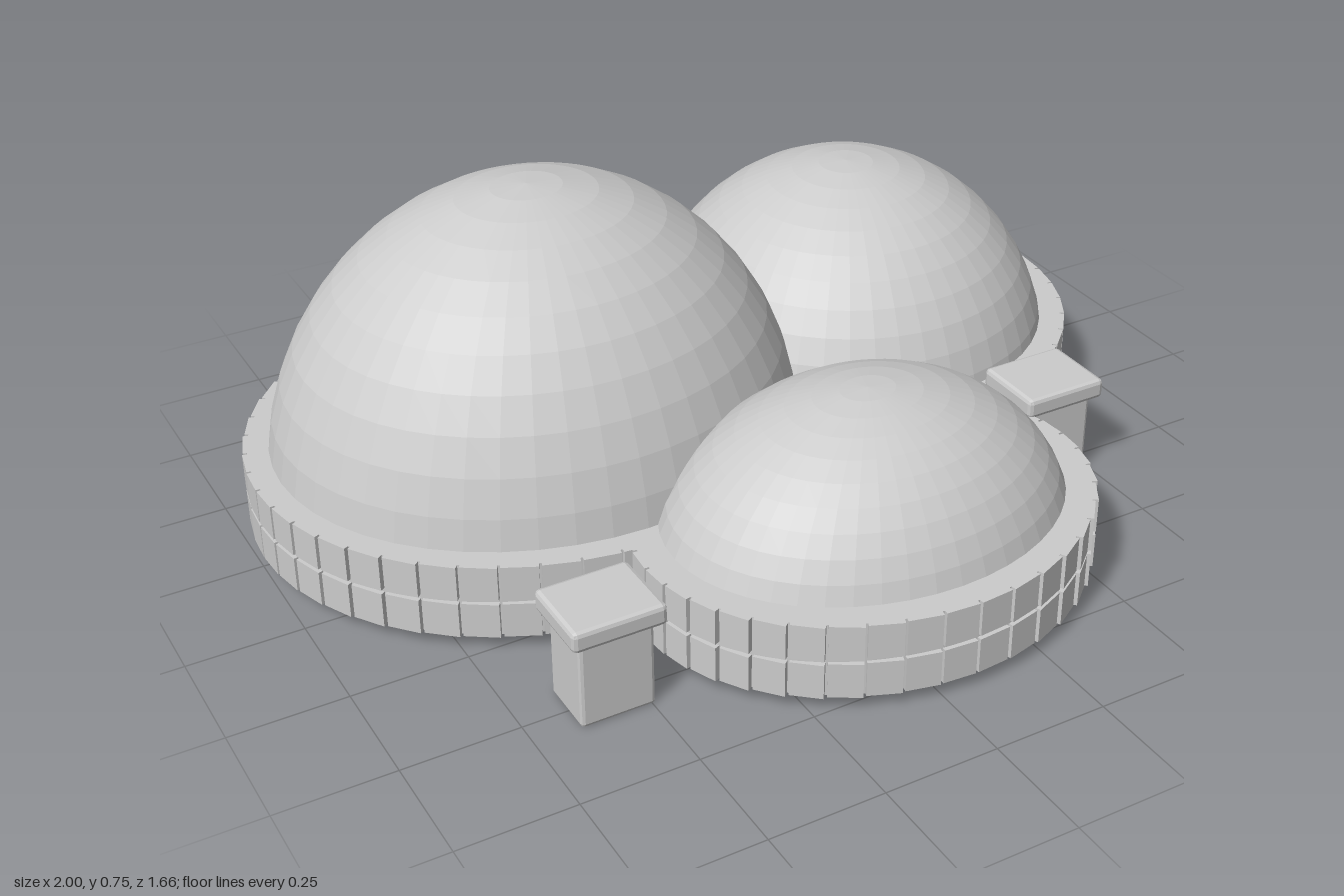
import * as THREE from 'three';
import { RoundedBoxGeometry } from 'three/addons/geometries/RoundedBoxGeometry.js';

const WALL_BOTTOM = 0.033, WALL_TOP = 0.2, FLOOR = 0.1;

export function createModel() {
  const stone = new THREE.MeshStandardMaterial({ color: 0xcccccc, flatShading: true });
  stone.name = 'paleGrey';

  function add(parent, name, geometry, x = 0, y = 0, z = 0) {
    const mesh = new THREE.Mesh(geometry, stone);
    mesh.name = name;
    mesh.position.set(x, y, z);
    parent.add(mesh);
    return mesh;
  }

  // Half ellipsoid rising from a floor set inside a two-course block wall.
  // dome: [radius x, radius z, top y], wall: outer [radius x, radius z]
  function domeRoom(name, x, z, [rx, rz, top], [wx, wz], blocks) {
    const room = new THREE.Group();
    room.name = name;
    room.position.set(x, 0, z);

    const dome = new THREE.SphereGeometry(1, 48, 12, 0, Math.PI * 2, 0, Math.PI / 2);
    dome.scale(rx, top - FLOOR, rz);
    add(room, 'dome', dome, 0, FLOOR, 0);

    // Solid wall core
    const ring = new THREE.Shape();
    ring.absellipse(0, 0, wx - 0.009, wz - 0.009, 0, Math.PI * 2);
    const hole = new THREE.Path();
    hole.absellipse(0, 0, wx - 0.091, wz - 0.091, 0, Math.PI * 2, true);
    ring.holes.push(hole);
    const core = new THREE.ExtrudeGeometry(ring, {
      depth: WALL_TOP - WALL_BOTTOM, bevelEnabled: false, curveSegments: 64,
    });
    core.rotateX(-Math.PI / 2);
    add(room, 'wallCore', core, 0, WALL_BOTTOM, 0);

    // Floor seen from below
    const floor = new THREE.CircleGeometry(1, 64);
    floor.rotateX(Math.PI / 2);
    floor.scale(wx - 0.09, 1, wz - 0.09);
    add(room, 'floor', floor, 0, FLOOR, 0);

    // Facing blocks, two courses with a narrow joint
    const depth = 0.04, step = Math.PI * 2 / blocks;
    const ax = wx - depth / 2, az = wz - depth / 2;
    for (let i = 0; i < blocks; i++) {
      const t = (i + 0.5) * step;
      const width = step * Math.hypot(wx * Math.sin(t), wz * Math.cos(t)) - 0.006;
      const block = new THREE.BoxGeometry(depth, 0.079, width);
      for (const y of [WALL_BOTTOM + 0.0395, WALL_TOP - 0.0395]) {
        const mesh = add(room, 'wallBlock', block, ax * Math.cos(t), y, az * Math.sin(t));
        mesh.rotation.y = -t;
      }
    }
    return room;
  }

  // Square post with an overhanging cap
  function post(name, x, z) {
    const group = new THREE.Group();
    group.name = name;
    group.position.set(x, 0, z);
    add(group, 'shaft', new RoundedBoxGeometry(0.16, 0.21, 0.132, 1, 0.008), 0, 0.105, 0);
    add(group, 'cap', new RoundedBoxGeometry(0.2, 0.046, 0.172, 1, 0.01), 0, 0.217, 0);
    return group;
  }

  const model = new THREE.Group();
  model.name = 'domeCluster';
  model.add(
    domeRoom('largeDome', -0.36, -0.233, [0.594, 0.528, 0.75], [0.64, 0.575], 48),
    domeRoom('mediumDome', 0.474, -0.31, [0.478, 0.475, 0.58], [0.525, 0.52], 42),
    domeRoom('smallDome', 0.074, 0.41, [0.459, 0.368, 0.465], [0.506, 0.416], 40),
    post('leftPost', 0.655, 0.241),
    post('rightPost', -0.573, 0.497),
  );
  return model;
}
